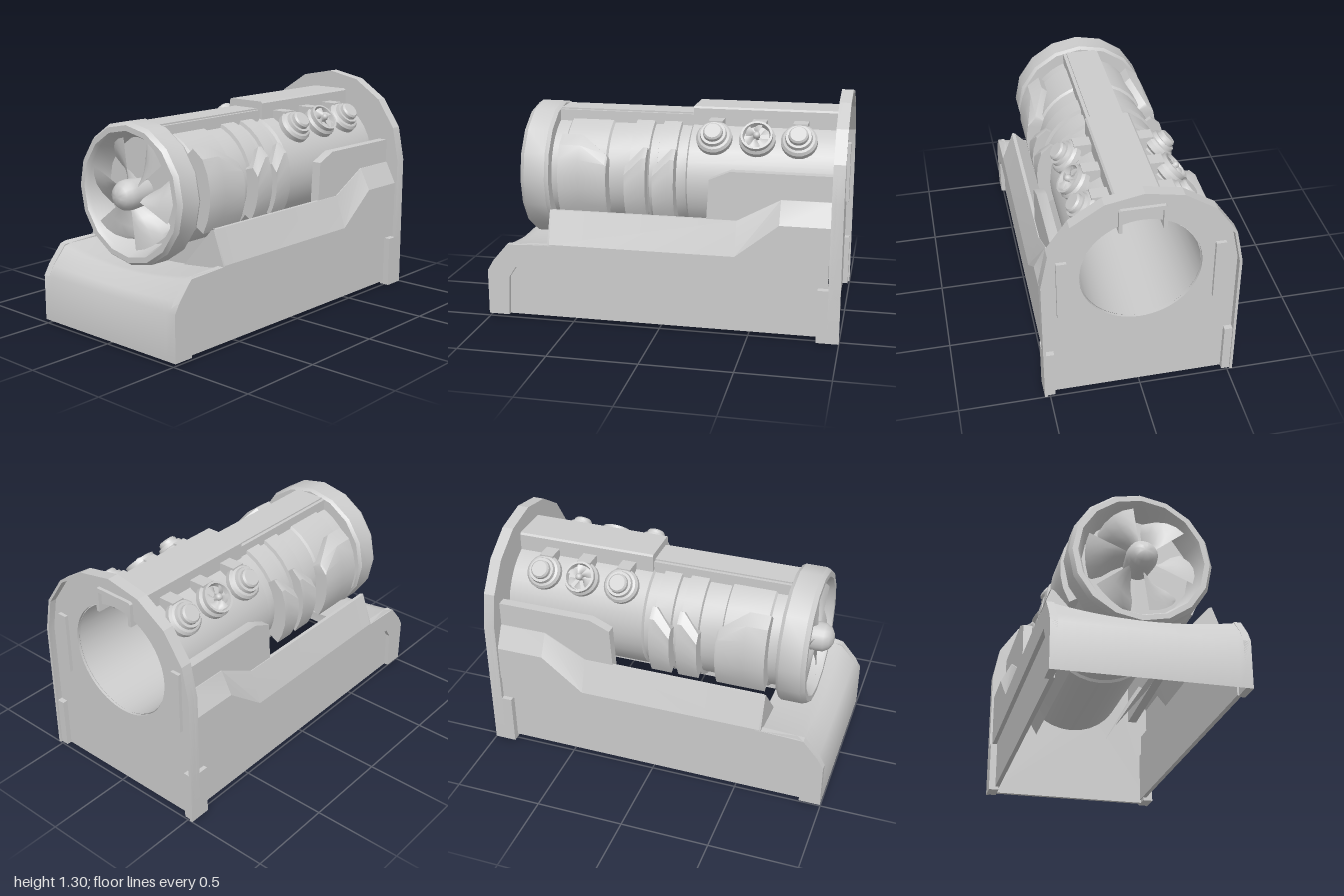
import * as THREE from 'three';
import { toCreasedNormals } from 'three/addons/utils/BufferGeometryUtils.js';

const AXIS_Y = 0.79; // height of the barrel axis
const grey = new THREE.MeshStandardMaterial({ color: 0xcccccc, side: THREE.DoubleSide });

function add(parent, name, geo, crease = 0.5) {
  const m = new THREE.Mesh(toCreasedNormals(geo, crease), grey);
  m.name = name;
  parent.add(m);
  return m;
}

function group(parent, name) {
  const g = new THREE.Group();
  g.name = name;
  parent.add(g);
  return g;
}

function box(x0, x1, y0, y1, z0, z1) {
  return new THREE.BoxGeometry(x1 - x0, y1 - y0, z1 - z0)
    .translate((x0 + x1) / 2, (y0 + y1) / 2, (z0 + z1) / 2);
}

const shapeOf = (pts) => new THREE.Shape(pts.map(([x, y]) => new THREE.Vector2(x, y)));

// Extrudes an (x, y) shape from z0 to z1
function extrudeZ(shape, z0, z1) {
  return new THREE.ExtrudeGeometry(shape, { depth: z1 - z0, bevelEnabled: false, curveSegments: 32 })
    .translate(0, 0, z0);
}

// Extrudes a (z, y) outline from x0 to x1
function extrudeX(pts, x0, x1) {
  return new THREE.ExtrudeGeometry(shapeOf(pts), { depth: x1 - x0, bevelEnabled: false })
    .rotateY(-Math.PI / 2).translate(x1, 0, 0);
}

// Skins a row of equal-length cross-sections, optionally closed and capped
function loft(sections, closed = false) {
  const n = sections[0].length, pos = sections.flat(2), idx = [];
  for (let i = 0; i < sections.length - 1; i++)
    for (let j = 0; j < (closed ? n : n - 1); j++) {
      const a = i * n + j, b = i * n + (j + 1) % n;
      idx.push(a, b, b + n, a, b + n, a + n);
    }
  if (closed) {
    const last = (sections.length - 1) * n;
    for (let j = 0; j < n / 2 - 1; j++) {
      const k = n - 1 - j;
      idx.push(j, k, k - 1, j, k - 1, j + 1);
      idx.push(last + j, last + k - 1, last + k, last + j, last + j + 1, last + k - 1);
    }
  }
  const g = new THREE.BufferGeometry();
  g.setAttribute('position', new THREE.Float32BufferAttribute(pos, 3));
  g.setIndex(idx);
  return g;
}

const lathe = (pts, seg) => new THREE.LatheGeometry(pts.map(([r, y]) => new THREE.Vector2(r, y)), seg);
const latheZ = (pts, seg) => lathe(pts, seg).rotateX(Math.PI / 2).translate(0, AXIS_Y, 0);

// Six twisted blades and a domed hub, facing +z
function makeFan(parent) {
  const fan = group(parent, 'fan');
  const sections = [0, 0.3, 0.6, 0.85, 1].map((u) => {
    const r = 0.07 + 0.235 * u;
    const width = 0.45 + 0.36 * Math.sin(u * 2.2);
    return [0, 0.25, 0.5, 0.75, 1].map((v) => {
      const a = 1.7 + v * width;
      const rr = r - (u === 1 ? 0.025 * v * v : 0);
      return [rr * Math.cos(a), rr * Math.sin(a), 0.045 - 0.1 * v + 0.02 * Math.sin(v * Math.PI)];
    });
  });
  for (let i = 0; i < 6; i++)
    add(fan, 'fanBlade', loft(sections), 1).rotation.z = i * Math.PI / 3;
  add(fan, 'fanHub', latheZ([[0.075, -0.06], [0.085, 0.05], [0.08, 0.09], [0.06, 0.12], [0.03, 0.137], [0, 0.14]], 20)
    .translate(0, -AXIS_Y, 0), 1);
  return fan;
}

// Round cap on the barrel's shoulder, axis along local y
function makeCap(parent, z, withFan) {
  const cap = group(parent, 'shoulderCap');
  cap.position.set(0.275, 1.07, z);
  cap.rotation.z = -0.84;
  const stem = [[0, -0.13], [0.075, -0.13], [0.075, -0.06], [0.1, -0.045], [0.1, -0.015], [0.088, 0]];
  const top = withFan
    ? [[0.088, 0.025], [0.076, 0.025], [0.07, -0.005], [0, -0.005]]
    : [[0.075, 0.005], [0.07, 0.025], [0.055, 0.025], [0.053, 0.045], [0.044, 0.055], [0, 0.055]];
  add(cap, 'capBody', lathe([...stem, ...top], 24));
  if (withFan) {
    const fan = makeFan(cap);
    fan.scale.setScalar(0.23);
    fan.rotation.x = -Math.PI / 2;
    fan.position.y = 0.01;
  }
}

// Raised clamp hugging the barrel; stations are [z, top angle in degrees]
function clamp(stations) {
  return loft(stations.map(([z, top]) => {
    const outer = [], inner = [];
    for (let i = 0; i <= 6; i++) {
      const a = THREE.MathUtils.degToRad(-30 + (top + 30) * i / 6);
      const r = i === 6 ? 0.37 : 0.395;
      outer.push([r * Math.cos(a), AXIS_Y + r * Math.sin(a), z]);
      inner.unshift([0.31 * Math.cos(a), AXIS_Y + 0.31 * Math.sin(a), z]);
    }
    return [...outer, ...inner];
  }), true);
}

// Everything on the +x side; the other side is a mirror
function makeSide(parent, sign) {
  const side = group(parent, sign > 0 ? 'leftSide' : 'rightSide');
  side.scale.x = sign;

  // Base wall with its front leg
  add(side, 'sideWall', extrudeX([[1, 0.02], [1, 0.28], [0.965, 0.34], [0.88, 0.44], [0.63, 0.45],
    [-0.93, 0.45], [-0.93, 0.31], [0.83, 0.31], [0.87, 0.25], [0.88, 0.02]], 0.475, 0.515));
  add(side, 'lowerPanel', box(0.465, 0.49, 0.02, 0.32, -0.95, 0.9));

  // Sloped shoulder rising toward the back
  const stations = [[0.63, 0.45, 0.64], [-0.42, 0.45, 0.64], [-0.66, 0.64, 0.77], [-0.95, 0.64, 0.77]];
  add(side, 'shoulder', loft(stations.map(([z, low, high]) => [
    [0.515, 0.44, z], [0.515, low + 0.005, z], [0.45, high, z], [0.43, high, z], [0.23, 0.41, z]])), 0.3);
  add(side, 'shoulderFront', extrudeZ(shapeOf([[0.515, 0.44], [0.515, 0.455], [0.445, 0.64], [0.43, 0.635],
    [0.23, 0.41]]), 0.61, 0.64));

  // Upright rear fin and the foot of the back plate
  add(side, 'rearFin', extrudeX([[-0.25, 0.6], [-0.265, 0.86], [-0.38, 0.91], [-0.98, 0.91], [-0.98, 0.55]], 0.39, 0.445));
  add(side, 'plateFoot', box(0.47, 0.53, 0, 0.3, -0.99, -0.875));

  // Barrel clamps
  add(side, 'wideClamp', clamp([[0.61, 43], [0.49, 43], [0.34, 25], [0.33, 22]]));
  add(side, 'thinClamp', clamp([[0.225, 16], [0.13, 33], [0.105, 33]]));
  add(side, 'thinClamp', clamp([[0.065, 16], [-0.03, 33], [-0.055, 33]]));

  // Shoulder caps with their arms
  [-0.26, -0.5, -0.73].forEach((z, i) => {
    add(side, 'capArm', box(0.1, 0.22, 1.05, 1.14, z - 0.04, z + 0.04));
    makeCap(side, z, i === 1);
  });
}

export function createModel() {
  const model = new THREE.Group();
  model.name = 'turbineEngine';

  // Barrel with raised bands, open at the back
  add(model, 'barrel', latheZ([[0.32, -0.95], [0.33, -0.94], [0.33, -0.12], [0.315, -0.11], [0.315, -0.055],
    [0.335, -0.05], [0.335, 0.05], [0.315, 0.055], [0.315, 0.1], [0.335, 0.105], [0.335, 0.21], [0.315, 0.215],
    [0.315, 0.34], [0.328, 0.35], [0.328, 0.59], [0.315, 0.6], [0.315, 0.7]], 32));

  // Front ring and fan
  add(model, 'fanRing', latheZ([[0, 0.685], [0.3, 0.685], [0.33, 0.81], [0.345, 0.835], [0.375, 0.835],
    [0.393, 0.81], [0.393, 0.69], [0.38, 0.67], [0.3, 0.67]], 16));
  makeFan(model).position.set(0, AXIS_Y, 0.77);

  // Top rail and rear cover
  add(model, 'topRail', box(-0.105, 0.105, 1.08, 1.15, -0.13, 0.68));
  add(model, 'railStrip', box(-0.085, 0.085, 1.14, 1.158, -0.13, 0.67));
  const cover = shapeOf([[-0.125, 1.06], [-0.125, 1.19], [-0.115, 1.2], [0.115, 1.2], [0.125, 1.19], [0.125, 1.06],
    [0.105, 1.06], [0.105, 1.175], [-0.105, 1.175], [-0.105, 1.06]]);
  add(model, 'topCover', extrudeZ(cover, -0.98, -0.12));
  add(model, 'coverFront', box(-0.12, 0.12, 1.06, 1.195, -0.14, -0.12));

  // Back plate: panel with barrel opening and a thin rim
  const arch = (r, bottom) => {
    const pts = [[r, bottom]];
    for (let i = 0; i <= 8; i++) {
      const a = i * Math.PI / 8;
      pts.push([r * Math.cos(a), AXIS_Y + (r - 0.015) * Math.sin(a)]);
    }
    return [...pts, [-r, bottom]];
  };
  const panel = shapeOf(arch(0.53, 0));
  panel.holes.push(new THREE.Path().absarc(0, AXIS_Y, 0.325, 0, Math.PI * 2, true));
  add(model, 'backPanel', extrudeZ(panel, -0.96, -0.935), 0.3);
  add(model, 'backRim', extrudeZ(shapeOf([...arch(0.53, 0), ...arch(0.515, 0).reverse()]), -1, -0.935), 0.3);

  // Front hood, dished under the ring
  const hood = [];
  for (let i = -8; i <= 8; i++) {
    const x = i / 8 * 0.515;
    const dip = 0.06 * (1 - (i / 8) ** 2);
    hood.push([[x, 0.02, 1], [x, 0.28, 1], [x, 0.34 - dip * 0.3, 0.965],
      [x, 0.44 - dip * 0.85, 0.88], [x, 0.45 - dip, 0.84], [x, 0.45 - dip, 0.6]]);
  }
  add(model, 'frontHood', loft(hood), 0.7);

  for (const sign of [1, -1]) makeSide(model, sign);
  return model;
}
